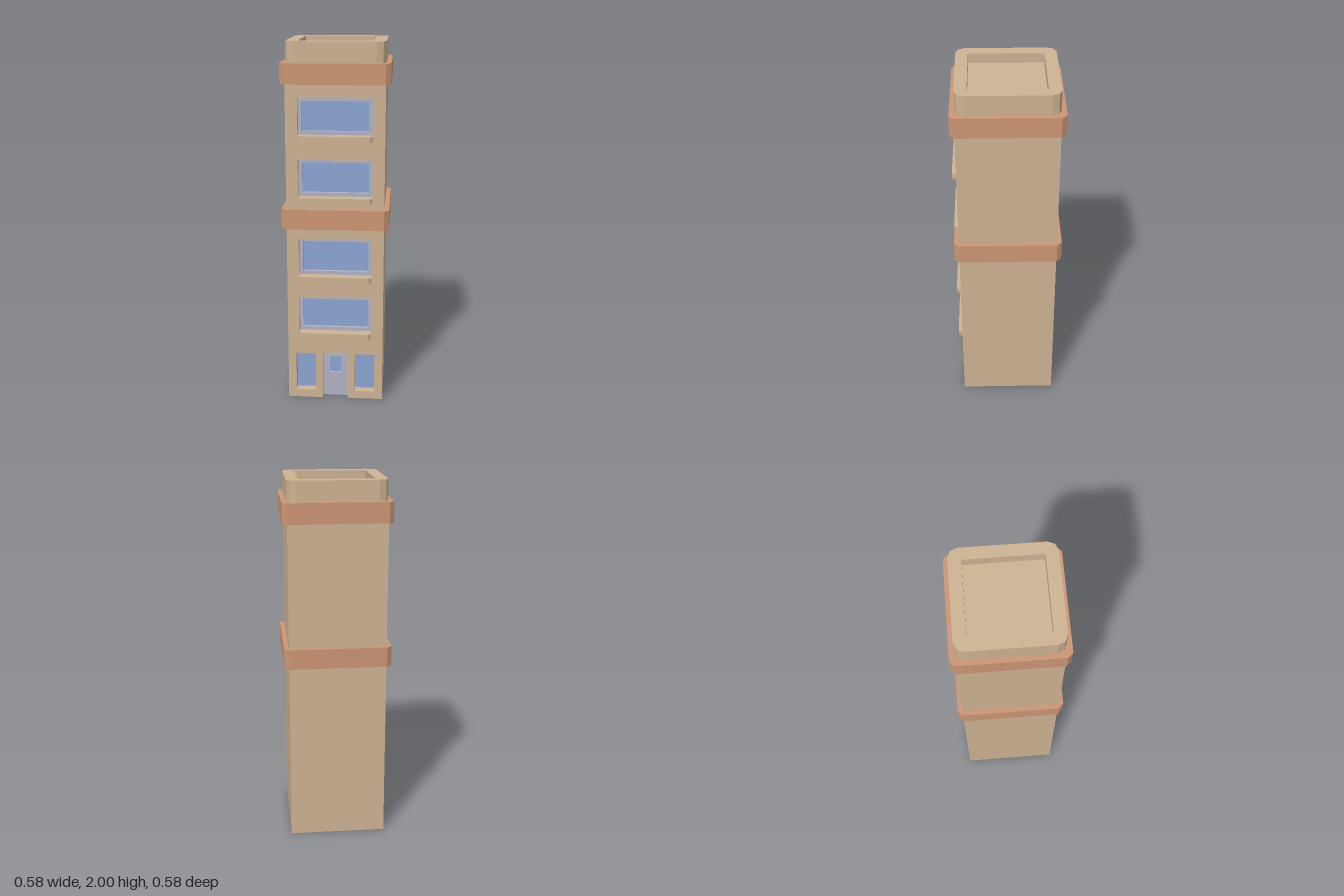
import * as THREE from 'three';

const mat = (name, color) => {
  const m = new THREE.MeshStandardMaterial({ color });
  m.name = name;
  return m;
};

export function createModel() {
  const tower = new THREE.Group();
  tower.name = 'tower';
  const stone = mat('tan stone', 0xcdb393);
  const clay = mat('terracotta', 0xcc9675);
  const glass = mat('blue glass', 0x8aa5d3);
  const trim = mat('pale lilac trim', 0xb3b2c4);

  const HALF = 0.265; // half width of the shaft
  const WALL = 0.055; // depth of the window and door recesses
  const BACK = HALF - WALL;

  const add = (name, geo, material, x = 0, y = 0, z = 0, parent = tower) => {
    const m = new THREE.Mesh(geo, material);
    m.name = name;
    m.position.set(x, y, z);
    parent.add(m);
    return m;
  };
  const box = (w, h, d) => new THREE.BoxGeometry(w, h, d);
  const points = (pts) => pts.map(([x, y]) => new THREE.Vector2(x, y));
  const rect = (x0, y0, x1, y1) => points([[x0, y0], [x1, y0], [x1, y1], [x0, y1]]);
  const extrude = (outline, holes, depth) => {
    const s = new THREE.Shape(outline);
    s.holes = holes.map((h) => new THREE.Path(h));
    return new THREE.ExtrudeGeometry(s, { depth, bevelEnabled: false });
  };
  // Horizontal slab from a plan; repeats one corner's points on all four corners
  const slab = (corner, height, holes = []) => {
    const plan = [];
    for (let i = 0; i < 4; i++) {
      for (const [x, y] of corner) {
        plan.push(new THREE.Vector2(x, y).rotateAround(new THREE.Vector2(), i * Math.PI / 2));
      }
    }
    return extrude(plan, holes, height).rotateX(-Math.PI / 2);
  };

  // Shaft behind a front wall that is pierced for the openings
  const windows = [[0.4, 0.605], [0.73, 0.94], [1.175, 1.38], [1.51, 1.71]];
  const sides = [-1, 1];
  const top = 1.88;
  const wallOutline = points([
    [-HALF, 0], [-0.07, 0], [-0.07, 0.27], [0.07, 0.27], [0.07, 0], [HALF, 0], [HALF, top], [-HALF, top],
  ]);
  const openings = windows.map(([y0, y1]) => rect(-0.2, y0, 0.2, y1));
  for (const s of sides) openings.push(rect(s * 0.165 - 0.055, 0.045, s * 0.165 + 0.055, 0.27));
  add('frontWall', extrude(wallOutline, openings, WALL), stone, 0, 0, BACK);
  add('shaft', box(HALF * 2, top, HALF + BACK), stone, 0, top / 2, (BACK - HALF) / 2);

  // Wide windows with a frame, a pane and a projecting sill
  windows.forEach(([y0, y1], i) => {
    const g = new THREE.Group();
    g.name = 'window' + (i + 1);
    tower.add(g);
    const frame = extrude(rect(-0.2, y0, 0.2, y1), [rect(-0.18, y0 + 0.02, 0.18, y1 - 0.02)], 0.025);
    add('windowFrame', frame, trim, 0, 0, BACK, g);
    add('windowPane', box(0.37, y1 - y0 - 0.03, 0.006), glass, 0, (y0 + y1) / 2, BACK + 0.003, g);
    const sill = extrude(points([
      [-0.2, -0.26], [-0.2, -0.275], [-0.185, -0.29], [0.185, -0.29], [0.2, -0.275], [0.2, -0.26],
    ]), [], 0.03).rotateX(-Math.PI / 2);
    add('windowSill', sill, stone, 0, y0 - 0.03, 0, g);
  });

  // Tall panes on both sides of the door
  for (const s of sides) {
    add('groundFloorPane', box(0.11, 0.225, 0.006), glass, s * 0.165, 0.1575, BACK + 0.003);
  }

  // Recessed door with a small framed light
  const door = extrude(rect(-0.07, 0, 0.07, 0.27), [rect(-0.033, 0.143, 0.033, 0.24)], 0.018);
  add('door', door, trim, 0, 0, BACK);
  const rim = extrude(rect(-0.041, 0.133, 0.041, 0.25), [rect(-0.033, 0.143, 0.033, 0.24)], 0.006);
  add('doorLightRim', rim, trim, 0, 0, BACK + 0.018);
  add('doorLight', box(0.07, 0.1, 0.006), glass, 0, 0.1915, BACK + 0.004);

  // Terracotta bands with clipped corners
  for (const y of [1.0, 1.78]) {
    add('band', slab([[0.291, 0.265], [0.265, 0.291]], 0.11), clay, 0, y, 0);
  }

  // Rounded parapet around a sunken roof
  const corner = [[0.265, 0.215], [0.25, 0.25], [0.215, 0.265]];
  add('parapet', slab(corner, 0.11, [rect(-0.2, -0.2, 0.2, 0.2)]), stone, 0, 1.89, 0);
  add('roof', box(0.4, 0.055, 0.4), stone, 0, 1.9175, 0);

  return tower;
}
